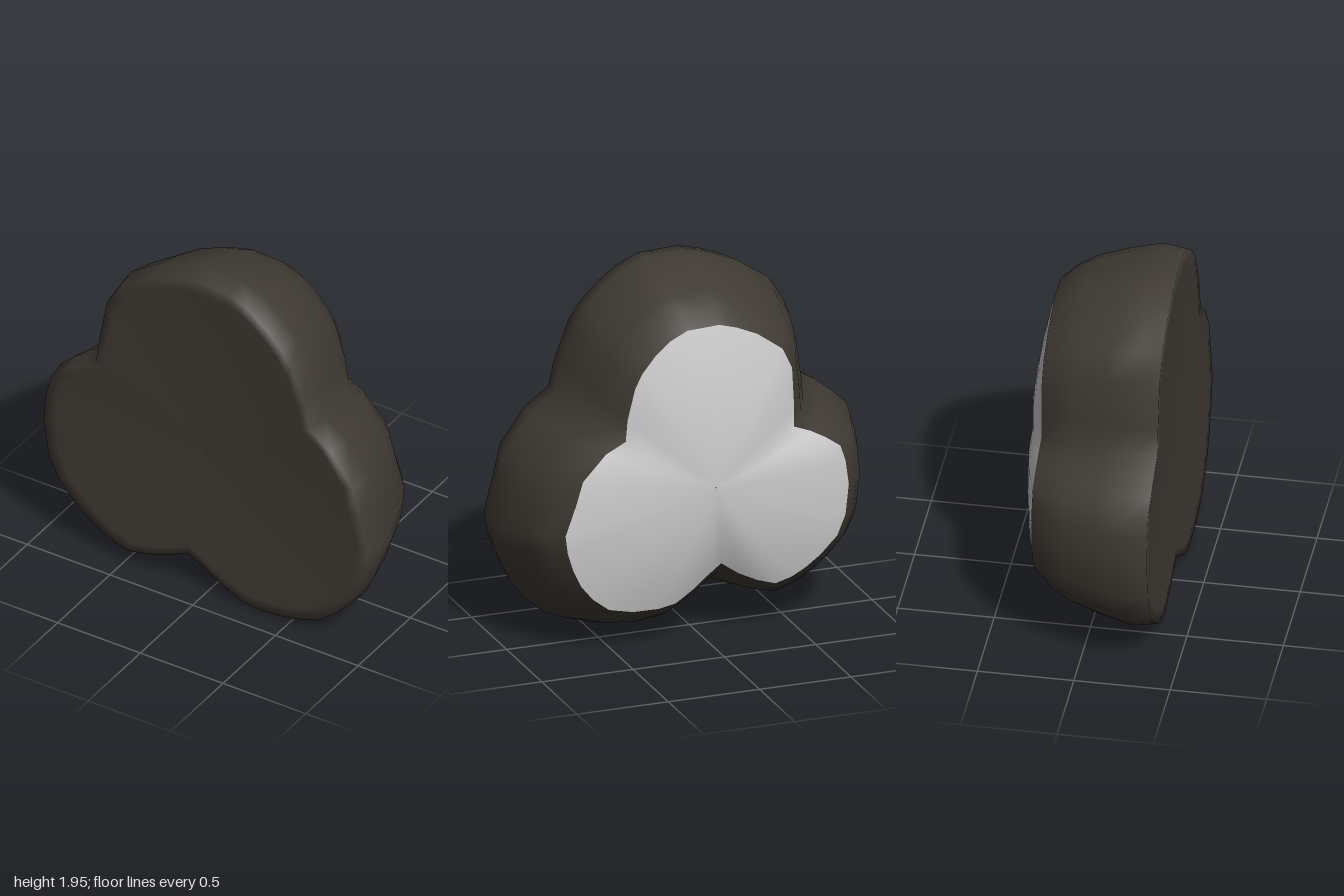
import * as THREE from 'three';

const CENTER_Y = 0.88;

// Three-lobed outline at its widest, clockwise from the top
const OUTLINE = [
  [-0.08, 1.95], [0.14, 1.94], [0.26, 1.89], [0.37, 1.81], [0.47, 1.71], [0.53, 1.62], [0.61, 1.42],
  [0.645, 1.27], [0.77, 1.18], [0.91, 0.99], [0.95, 0.82], [1, 0.62], [0.98, 0.5], [0.94, 0.38],
  [0.88, 0.26], [0.8, 0.16], [0.69, 0.07], [0.53, 0.02], [0.35, 0], [0.23, 0.01], [0.1, 0.07],
  [0, 0.13], [-0.11, 0.19], [-0.24, 0.13], [-0.37, 0.09], [-0.49, 0.07], [-0.6, 0.11], [-0.7, 0.17],
  [-0.8, 0.25], [-0.91, 0.37], [-0.97, 0.51], [-1, 0.72], [-0.985, 0.89], [-0.955, 1], [-0.87, 1.08],
  [-0.78, 1.15], [-0.68, 1.21], [-0.66, 1.36], [-0.61, 1.61], [-0.53, 1.74], [-0.35, 1.86], [-0.2, 1.92],
];

// Skins a list of rings; each is the outline pulled in by `inset`, then scaled about the centre
function skin(rings) {
  const n = OUTLINE.length;
  const positions = [];
  const index = [];
  rings.forEach(({ inset, scale = 1, z }, i) => {
    OUTLINE.forEach(([x, y], j) => {
      const r = Math.hypot(x, y - CENTER_Y);
      const k = scale * (r - inset) / r;
      positions.push(x * k, CENTER_Y + (y - CENTER_Y) * k, z);
      if (i === rings.length - 1) return;
      const a = i * n + j;
      const b = i * n + (j + 1) % n;
      index.push(a, b, a + n, b, b + n, a + n);
    });
  });
  const geometry = new THREE.BufferGeometry();
  geometry.setAttribute('position', new THREE.Float32BufferAttribute(positions, 3));
  geometry.setIndex(index);
  geometry.computeVertexNormals();
  return geometry;
}

export function createModel() {
  const group = new THREE.Group();

  // Dark body: shallow front face, rim, then a wall curving in towards the back
  const front = [0.001, 0.25, 0.5, 0.75, 0.93].map((scale) => ({
    inset: 0.02, scale, z: 0.375 - 0.02 * (1 - scale * scale),
  }));
  const wall = [[0.02, 0.375], [0, 0.25], [0.04, 0.09], [0.097, -0.08], [0.155, -0.18], [0.23, -0.26]]
    .map(([inset, z]) => ({ inset, z }));
  const body = new THREE.Mesh(
    skin([...front, ...wall]),
    new THREE.MeshStandardMaterial({ color: 0x3f3a33 }),
  );
  body.name = 'body';

  // Grey domed cap closing the back
  const dome = [1, 0.9, 0.75, 0.6, 0.45, 0.3, 0.15, 0.001].map((scale) => ({
    inset: 0.23, scale, z: -0.26 - 0.115 * (1 - scale * scale),
  }));
  const cap = new THREE.Mesh(skin(dome), new THREE.MeshStandardMaterial({ color: 0xcccccc }));
  cap.name = 'backCap';

  group.add(body, cap);
  return group;
}
